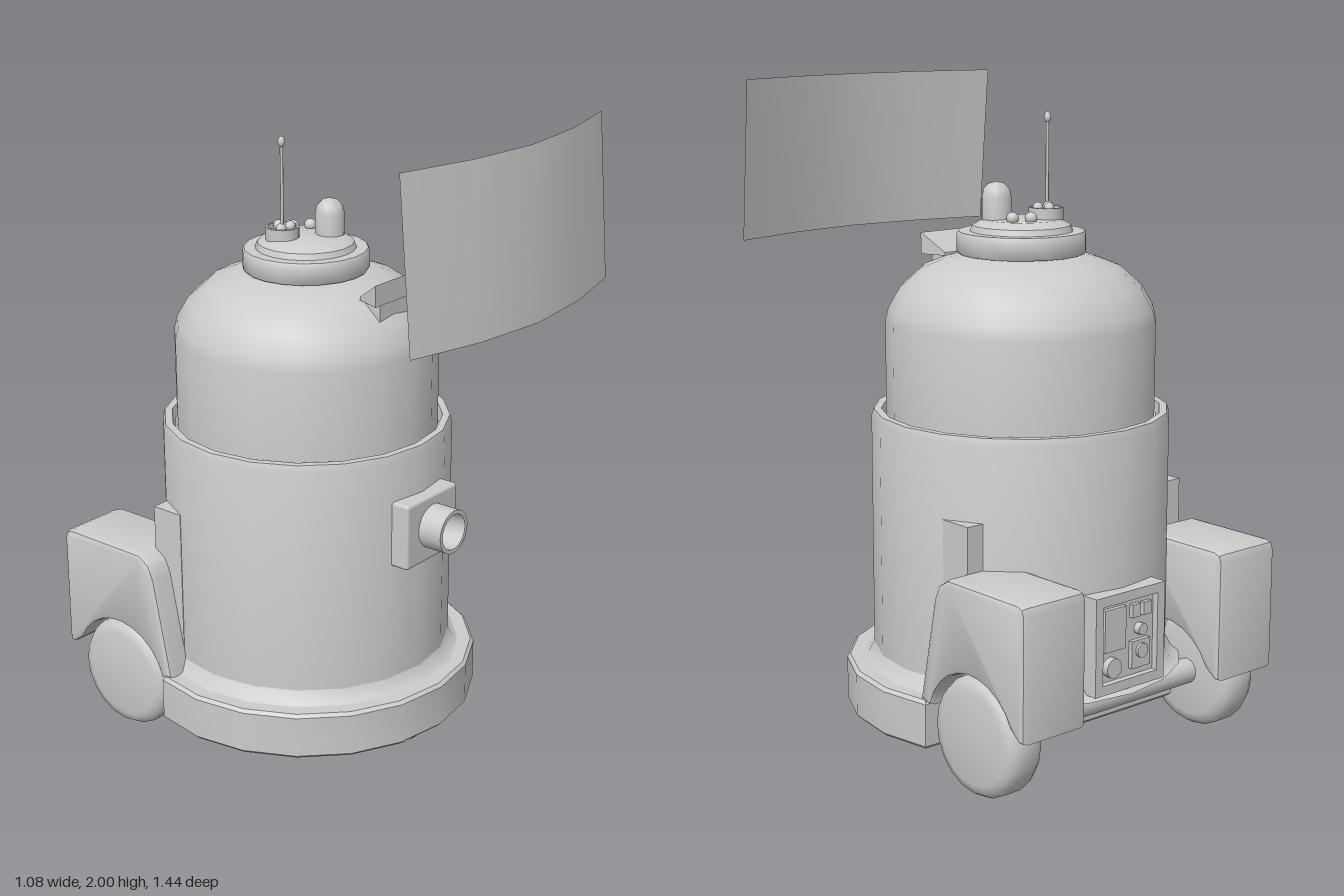
import * as THREE from 'three';
import { toCreasedNormals } from 'three/addons/utils/BufferGeometryUtils.js';
import { RoundedBoxGeometry } from 'three/addons/geometries/RoundedBoxGeometry.js';
import { ConvexGeometry } from 'three/addons/geometries/ConvexGeometry.js';

const AXIS_Z = -0.13; // vertical axis of the round body
const grey = new THREE.MeshStandardMaterial({ color: 0xcccccc });
const sheet = new THREE.MeshStandardMaterial({ color: 0xcccccc, side: THREE.DoubleSide });
const v2 = (p) => p.map(([x, y]) => new THREE.Vector2(x, y));

export function createModel() {
  const model = new THREE.Group();

  const add = (name, geometry, x = 0, y = 0, z = 0, material = grey) => {
    const mesh = new THREE.Mesh(geometry, material);
    mesh.name = name;
    mesh.position.set(x, y, z);
    model.add(mesh);
    return mesh;
  };
  const lathe = (points, sides = 20, crease = 0.7) =>
    toCreasedNormals(new THREE.LatheGeometry(v2(points), sides), crease);
  const box = (name, w, h, d, x, y, z) => add(name, new THREE.BoxGeometry(w, h, d), x, y, z);
  const ball = (name, r, x, y, z) => add(name, new THREE.SphereGeometry(r, 14, 10), x, y, z);

  // Main drum with an open rim
  add('drum', lathe([
    [0, 0.25], [0.455, 0.25], [0.455, 1.01], [0.448, 1.03], [0.425, 1.03], [0.415, 1.0], [0.3, 1.0],
  ]), 0, 0, AXIS_Z);
  add('drumFillet', lathe([[0.5, 0.245], [0.475, 0.255], [0.455, 0.29]], 20, 1.2), 0, 0, AXIS_Z).scale.z = 1;

  // Domed head and stepped cap
  add('dome', lathe([
    [0.41, 0.99], [0.41, 1.3], [0.4, 1.34], [0.365, 1.4], [0.3, 1.458], [0.23, 1.485], [0.165, 1.5], [0, 1.505],
  ]), 0, 0, AXIS_Z);
  add('cap', lathe([
    [0.16, 1.48], [0.165, 1.5], [0.19, 1.5], [0.195, 1.507], [0.195, 1.56], [0.19, 1.567], [0.155, 1.567],
    [0.148, 1.585], [0.115, 1.602], [0, 1.605],
  ]), 0, 0, AXIS_Z);

  // Base plate: round in front, notched for the rear wheels
  const outline = [];
  for (let i = -1; i <= 11; i++) {
    const a = (i * Math.PI) / 10;
    outline.push([0.54 * Math.cos(a), -(AXIS_Z + 0.54 * Math.sin(a))]);
  }
  outline.push([-0.35, 0.297], [-0.35, 0.45], [0.35, 0.45], [0.35, 0.297]);
  const base = new THREE.ExtrudeGeometry(new THREE.Shape(v2(outline)), {
    depth: 0.13, bevelThickness: 0.01, bevelSize: 0.01, bevelOffset: -0.01, bevelSegments: 1,
  });
  base.rotateX(-Math.PI / 2);
  add('basePlate', toCreasedNormals(base, 0.5), 0, 0.11, 0);

  // Wheels, wheel housings and brackets on both sides
  const profile = [
    [0.31, 0.24], [0.265, 0.25], [0.33, 0.57], [0.35, 0.615], [0.39, 0.64], [0.69, 0.64],
    [0.712, 0.632], [0.72, 0.61], [0.72, 0.24], [0.7, 0.24],
  ];
  for (let i = 0; i <= 10; i++) {
    const a = 0.44 + (i / 10) * 2.4;
    profile.push([0.49 + 0.188 * Math.cos(a), 0.19 + 0.188 * Math.sin(a)]);
  }
  const housing = new THREE.ExtrudeGeometry(new THREE.Shape(v2(profile)), {
    depth: 0.2, bevelThickness: 0.02, bevelSize: 0.015, bevelOffset: -0.015, bevelSegments: 2,
  });
  housing.rotateY(Math.PI / 2);
  const housingGeo = toCreasedNormals(housing, 0.6);
  const wheelGeo = lathe([
    [0, -0.062], [0.14, -0.062], [0.165, -0.055], [0.18, -0.03], [0.18, 0.03], [0.165, 0.055], [0.14, 0.062], [0, 0.062],
  ], 20, 0.9);
  wheelGeo.rotateZ(Math.PI / 2);
  for (const [side, s] of [['left', 1], ['right', -1]]) {
    add(side + 'Housing', housingGeo, s > 0 ? 0.29 : -0.49, 0, 0);
    add(side + 'Wheel', wheelGeo, s * 0.438, 0.19, -0.49);
    box(side + 'Bracket', 0.11, 0.53, 0.11, s * 0.375, 0.515, -0.335);
  }
  const axle = add('axle', new THREE.CylinderGeometry(0.04, 0.04, 0.8, 12), 0, 0.19, -0.49);
  axle.rotation.z = Math.PI / 2;
  const caster = add('frontCaster', new THREE.CylinderGeometry(0.085, 0.085, 0.07, 20), 0, 0.09, 0.255);
  caster.rotation.z = Math.PI / 2;

  // Front port: square plate with a hollow spout
  add('portPlate', new RoundedBoxGeometry(0.25, 0.21, 0.08, 2, 0.01), 0, 0.775, 0.325);
  const spout = lathe([
    [0.07, 0], [0.07, 0.09], [0.057, 0.09], [0.055, 0.02], [0, 0.02],
  ]);
  spout.rotateX(Math.PI / 2);
  add('portSpout', spout, 0, 0.78, 0.355);

  // Rear control panel: frame, recessed board and fittings
  const frame = new THREE.Shape(v2([[-0.14, -0.15], [0.14, -0.15], [0.14, 0.15], [-0.14, 0.15]]));
  frame.holes.push(new THREE.Path(v2([[-0.11, -0.12], [-0.11, 0.12], [0.11, 0.12], [0.11, -0.12]])));
  add('panelFrame', new THREE.ExtrudeGeometry(frame, { depth: 0.1, bevelEnabled: false }), 0, 0.41, -0.62);
  box('panelBoard', 0.26, 0.28, 0.1, 0, 0.41, -0.55);
  box('panelDoor', 0.085, 0.13, 0.015, 0.055, 0.45, -0.606);
  box('panelLowerBlock', 0.075, 0.085, 0.015, -0.05, 0.355, -0.606);
  for (const x of [-0.03, -0.075]) box('panelSwitch', 0.032, 0.04, 0.015, x, 0.49, -0.606);
  for (const [x, y, r] of [[0.065, 0.335, 0.03], [-0.05, 0.43, 0.018], [-0.05, 0.365, 0.022]]) {
    const knob = add('panelKnob', new THREE.CylinderGeometry(r, r, 0.03, 14), x, y, -0.607);
    knob.rotation.x = Math.PI / 2;
  }

  // Beacon, indicator lamps, lamp cup and antenna on the cap
  add('beacon', lathe([
    [0.045, 1.59], [0.045, 1.67], [0.039, 1.692], [0.023, 1.708], [0, 1.714],
  ], 16, 1), 0.06, 0, -0.085);
  for (const [x, z] of [[0.027, -0.203], [0.073, -0.173]]) ball('indicatorLamp', 0.019, x, 1.612, z);
  add('lampCup', lathe([
    [0.052, 1.59], [0.052, 1.636], [0.045, 1.636], [0.045, 1.62], [0, 1.62],
  ], 16), -0.062, 0, -0.17);
  for (const [x, z] of [[-0.055, -0.192], [-0.083, -0.157], [-0.042, -0.156]]) ball('cupLamp', 0.016, x, 1.635, z);
  add('antennaRod', new THREE.CylinderGeometry(0.005, 0.005, 0.27, 8), -0.08, 1.765, -0.155);
  ball('antennaTip', 0.011, -0.08, 1.9, -0.155).scale.y = 1.5;

  // Projector: post and flared wedge head
  box('projectorPost', 0.14, 0.1, 0.055, 0, 1.43, 0.183);
  const wedge = [];
  for (const s of [-1, 1]) {
    for (const [x, y, z] of [[0.075, 1.468, 0.14], [0.075, 1.478, 0.14], [0.105, 1.468, 0.222], [0.105, 1.535, 0.222]]) {
      wedge.push(new THREE.Vector3(s * x, y, z));
    }
  }
  add('projectorHead', new ConvexGeometry(wedge));

  // Floating curved screen, leaning slightly back
  const screen = new THREE.PlaneGeometry(0.97, 0.5, 4, 1);
  const bow = [0.635, 0.695, 0.72, 0.695, 0.635];
  const pos = screen.attributes.position;
  for (let i = 0; i < pos.count; i++) pos.setZ(i, bow[i % 5] - (pos.getY(i) > 0 ? 0.042 : 0));
  screen.computeVertexNormals();
  add('screen', screen, 0, 1.75, 0, sheet);

  return model;
}
